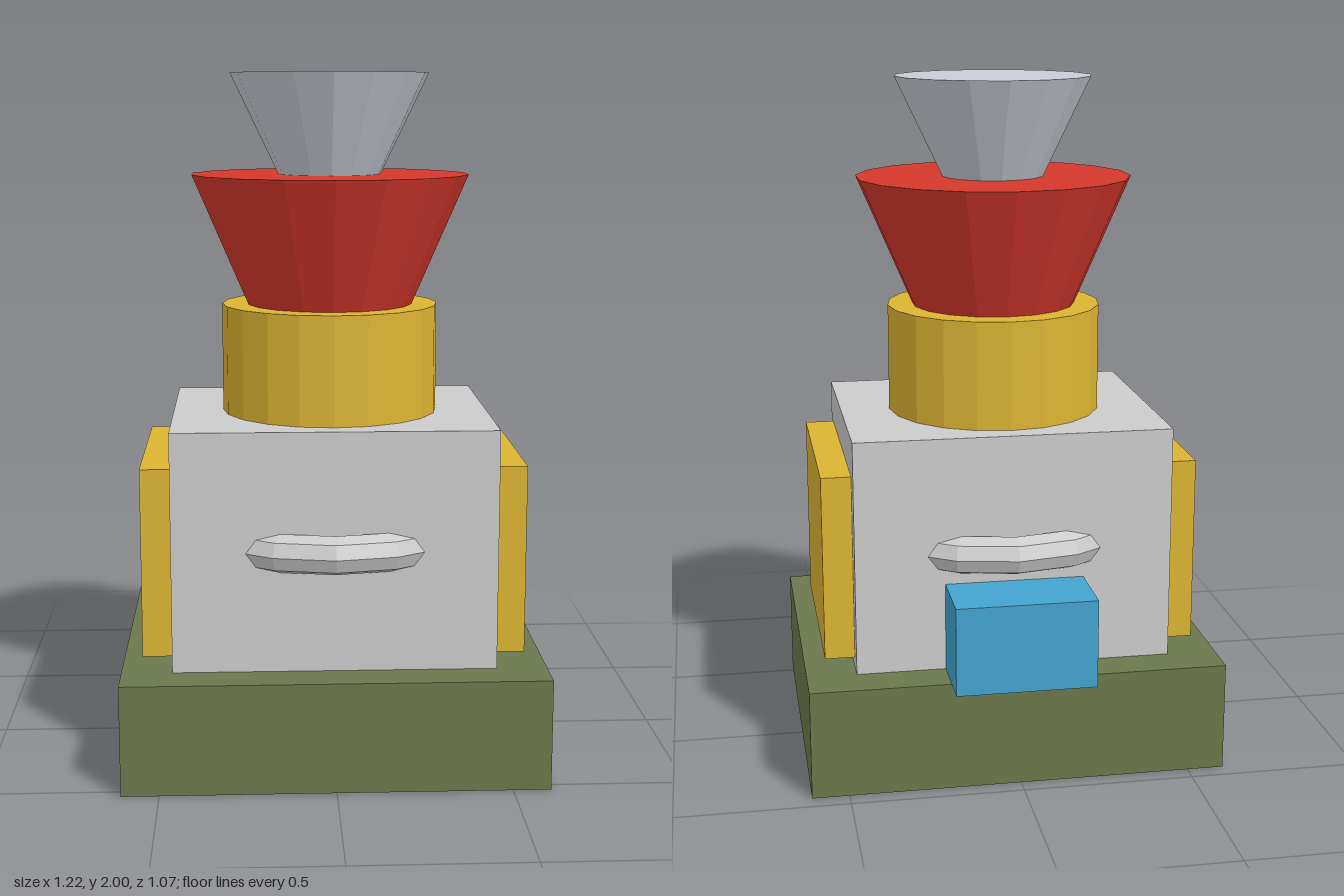
import * as THREE from 'three';

const material = (color) => new THREE.MeshStandardMaterial({ color, flatShading: true });
const GREY = material(0xcccccc);
const STEEL = material(0xc8ccd5);
const RED = material(0xd6382c);
const YELLOW = material(0xdcb432);
const GREEN = material(0x6b784c);
const BLUE = material(0x43a4cf);

// Depth of the main axis, shared by all parts but the rear block
const AXIS_Z = 0.043;

export function createModel() {
  const model = new THREE.Group();
  model.name = 'tower';

  const add = (name, geometry, mat, x, y, z) => {
    const mesh = new THREE.Mesh(geometry, mat);
    mesh.name = name;
    mesh.position.set(x, y, z);
    model.add(mesh);
    return mesh;
  };
  const box = (name, mat, width, depth, y0, y1, x = 0, z = AXIS_Z) =>
    add(name, new THREE.BoxGeometry(width, y1 - y0, depth), mat, x, (y0 + y1) / 2, z);
  const drum = (name, mat, rTop, rBottom, y0, y1, sides) =>
    add(name, new THREE.CylinderGeometry(rTop, rBottom, y1 - y0, sides), mat, 0, (y0 + y1) / 2, AXIS_Z);

  // Plinth and main block
  box('base', GREEN, 1.216, 0.985, 0, 0.322, 0, 0.0425);
  box('body', GREY, 0.926, 0.755, 0.322, 1.015);

  // Side panels, slightly sunk into the body
  for (const [name, side] of [['leftPanel', 1], ['rightPanel', -1]]) {
    box(name, YELLOW, 0.1, 0.638, 0.352, 0.9, side * 0.5);
  }

  // Rear block resting on the plinth
  box('rearBlock', BLUE, 0.406, 0.207, 0.322, 0.582, 0, -0.4355);

  // Ring through the body, showing at front and back
  const ring = add('ring', new THREE.TorusGeometry(0.407, 0.056, 8, 16), GREY, 0, 0.668, AXIS_Z);
  ring.rotation.x = Math.PI / 2;

  // Neck and the two stacked funnels
  drum('neck', YELLOW, 0.317, 0.317, 1.015, 1.332, 20);
  drum('lowerFunnel', RED, 0.406, 0.243, 1.332, 1.71, 18);
  drum('upperFunnel', STEEL, 0.289, 0.15, 1.71, 2, 16);

  return model;
}
